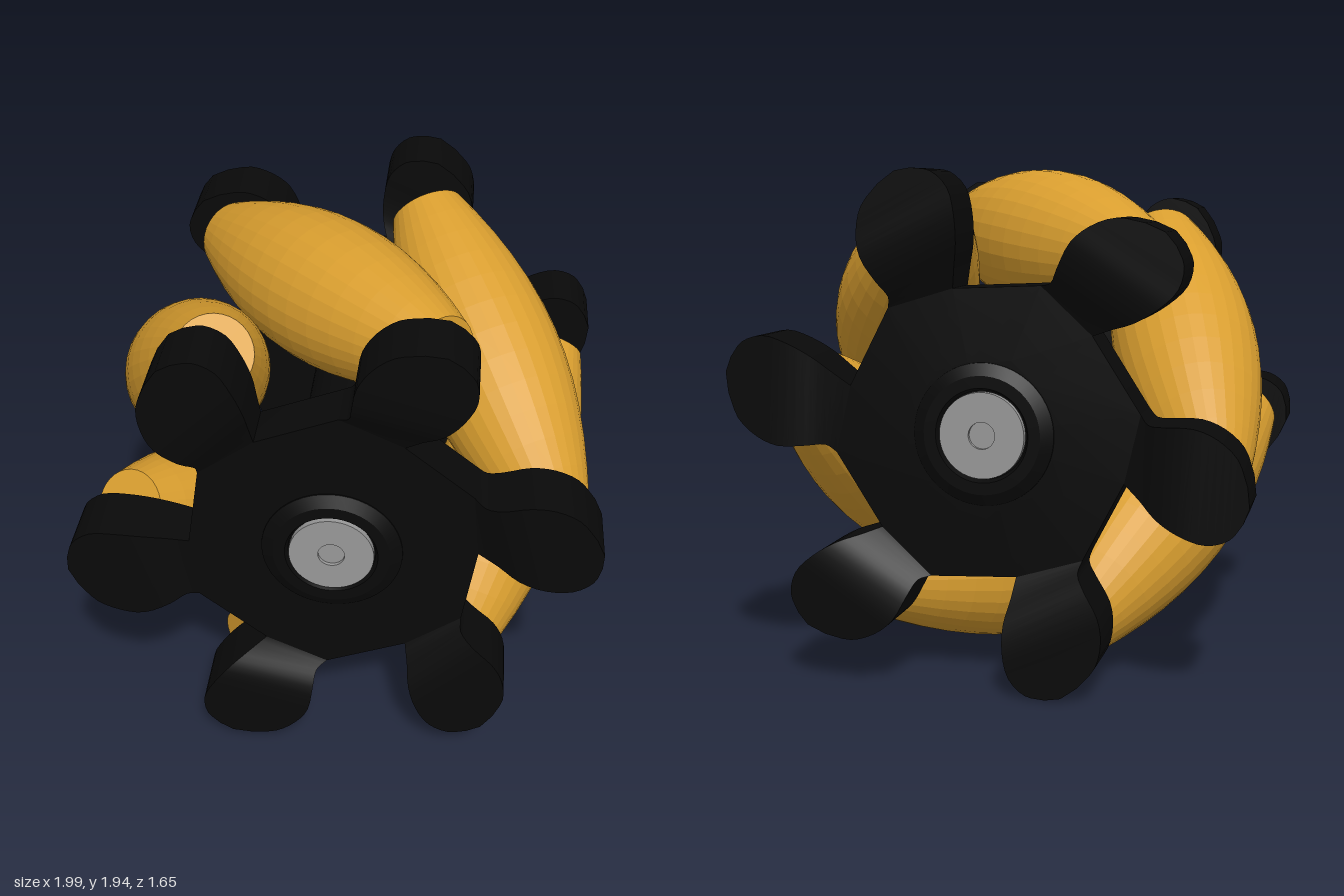
import * as THREE from 'three';
import { toCreasedNormals } from 'three/addons/utils/BufferGeometryUtils.js';

const black = new THREE.MeshStandardMaterial({ color: 0x090909 });
const amber = new THREE.MeshStandardMaterial({ color: 0xd99e2f, flatShading: true });
const grey = new THREE.MeshStandardMaterial({ color: 0x999999 });
const STEP = Math.PI / 3;
const rad = THREE.MathUtils.degToRad;

function add(parent, name, geometry, material) {
  const mesh = new THREE.Mesh(geometry, material);
  mesh.name = name;
  parent.add(mesh);
  return mesh;
}

// Skin a stack of closed rings that all have the same number of points
function loft(rings) {
  const n = rings[0].length;
  const index = [];
  for (let i = 0; i < rings.length - 1; i++) {
    for (let j = 0; j < n; j++) {
      const k = (j + 1) % n;
      const a = i * n + j, b = i * n + k, c = b + n, d = a + n;
      index.push(a, b, c, a, c, d);
    }
  }
  const g = new THREE.BufferGeometry();
  g.setAttribute('position', new THREE.Float32BufferAttribute(rings.flat(2), 3));
  g.setIndex(index);
  return toCreasedNormals(g, 0.6);
}

// Arm: edge points on both sides, with inner and outer z, from hub to tip
const armRows = [
  [0.545, 0.01, 0.52, 0.27, 0.54, 0.735],
  [0.62, -0.02, 0.56, 0.25, 0.55, 0.765],
  [0.70, -0.055, 0.62, 0.27, 0.57, 0.805],
  [0.80, -0.075, 0.72, 0.305, 0.58, 0.825],
  [0.90, -0.07, 0.81, 0.30, 0.58, 0.825],
  [0.97, -0.02, 0.90, 0.26, 0.58, 0.825],
  [0.995, 0.05, 0.965, 0.18, 0.58, 0.825],
];

function armGeometry() {
  const pick = (f) => new THREE.CatmullRomCurve3(armRows.map(f)).getPoints(18);
  const right = pick((r) => new THREE.Vector3(r[0], r[1], r[4]));
  const left = pick((r) => new THREE.Vector3(r[2], r[3], r[5]));
  const rings = right.map((p, i) => {
    const q = left[i];
    return [[p.x, p.y, p.z], [q.x, q.y, p.z], [q.x, q.y, q.z], [p.x, p.y, q.z]];
  });
  // close the tip
  rings.push([0.58, 0.58, 0.825, 0.825].map((z) => [0.997, 0.11, z]));
  rings.push(Array(4).fill([0.997, 0.11, 0.7]));
  return loft(rings);
}

// Twelve-sided web that joins the arms
function webGeometry() {
  const outline = [];
  for (let i = 0; i < 6; i++) {
    for (const [x, y] of [[0.545, 0.01], [0.52, 0.27]]) {
      const p = new THREE.Vector2(x, y).rotateAround(new THREE.Vector2(), i * STEP);
      outline.push([p.x, p.y]);
    }
  }
  const stack = [[0, 0.525], [0.5, 0.525], [1, 0.54], [1, 0.735], [0.5, 0.75], [0, 0.75]];
  return loft(stack.map(([s, z]) => outline.map(([x, y]) => [x * s, y * s, z])));
}

function lathe(points, segments) {
  return new THREE.LatheGeometry(points.map(([x, y]) => new THREE.Vector2(x, y)), segments);
}

// Turned part whose axis runs along z
function turned(points) {
  return toCreasedNormals(lathe(points, 48), 0.5).rotateX(Math.PI / 2);
}

function sidePlate() {
  const plate = new THREE.Group();
  add(plate, 'web', webGeometry(), black);
  const arm = armGeometry();
  for (let i = 0; i < 6; i++) add(plate, 'arm', arm, black).rotation.z = i * STEP;

  // Raised collar around the washer
  add(plate, 'hubCollar', turned([
    [0.27, 0.7], [0.265, 0.755], [0.22, 0.78], [0.175, 0.78], [0.165, 0.755], [0, 0.755],
  ]), black);

  // Washer with a shallow centre recess
  add(plate, 'hubWasher', turned([
    [0.16, 0.74], [0.16, 0.78], [0.05, 0.78], [0.05, 0.766], [0, 0.766],
  ]), grey);
  return plate;
}

// Barrel roller along its own y axis, shaped to touch the wheel's outer circle
const RIM = 0.97, ORBIT = 0.682, SLIDE = 0.46, DEPTH = 0.51;

function rollerGeometry() {
  const half = Math.hypot(SLIDE, DEPTH);
  const points = [[0, -half]];
  for (let i = 0; i <= 12; i++) {
    const t = i / 6 - 1;
    points.push([RIM - Math.hypot(ORBIT, SLIDE * t), t * half]);
  }
  points.push([0, half]);
  return lathe(points, 32);
}

export function createModel() {
  const model = new THREE.Group();
  model.name = 'rollerWheel';
  const wheel = new THREE.Group();
  wheel.name = 'wheel';
  wheel.position.y = 0.975;
  model.add(wheel);

  const front = sidePlate();
  front.name = 'frontPlate';
  const back = sidePlate();
  back.name = 'backPlate';
  back.rotation.set(Math.PI, 0, -rad(18.5));
  wheel.add(front, back);

  const core = new THREE.CylinderGeometry(0.195, 0.195, 0.97, 48).rotateX(Math.PI / 2);
  add(wheel, 'core', core, black);

  // Slanted rollers between the plates
  const geometry = rollerGeometry();
  const up = new THREE.Vector3(0, 1, 0);
  for (let i = 0; i < 6; i++) {
    const a = rad(37) + i * STEP;
    const roller = add(wheel, 'roller', geometry, amber);
    roller.position.set(ORBIT * Math.cos(a), ORBIT * Math.sin(a), 0);
    const axis = new THREE.Vector3(SLIDE * Math.sin(a), -SLIDE * Math.cos(a), DEPTH).normalize();
    roller.quaternion.setFromUnitVectors(up, axis);
  }
  return model;
}
